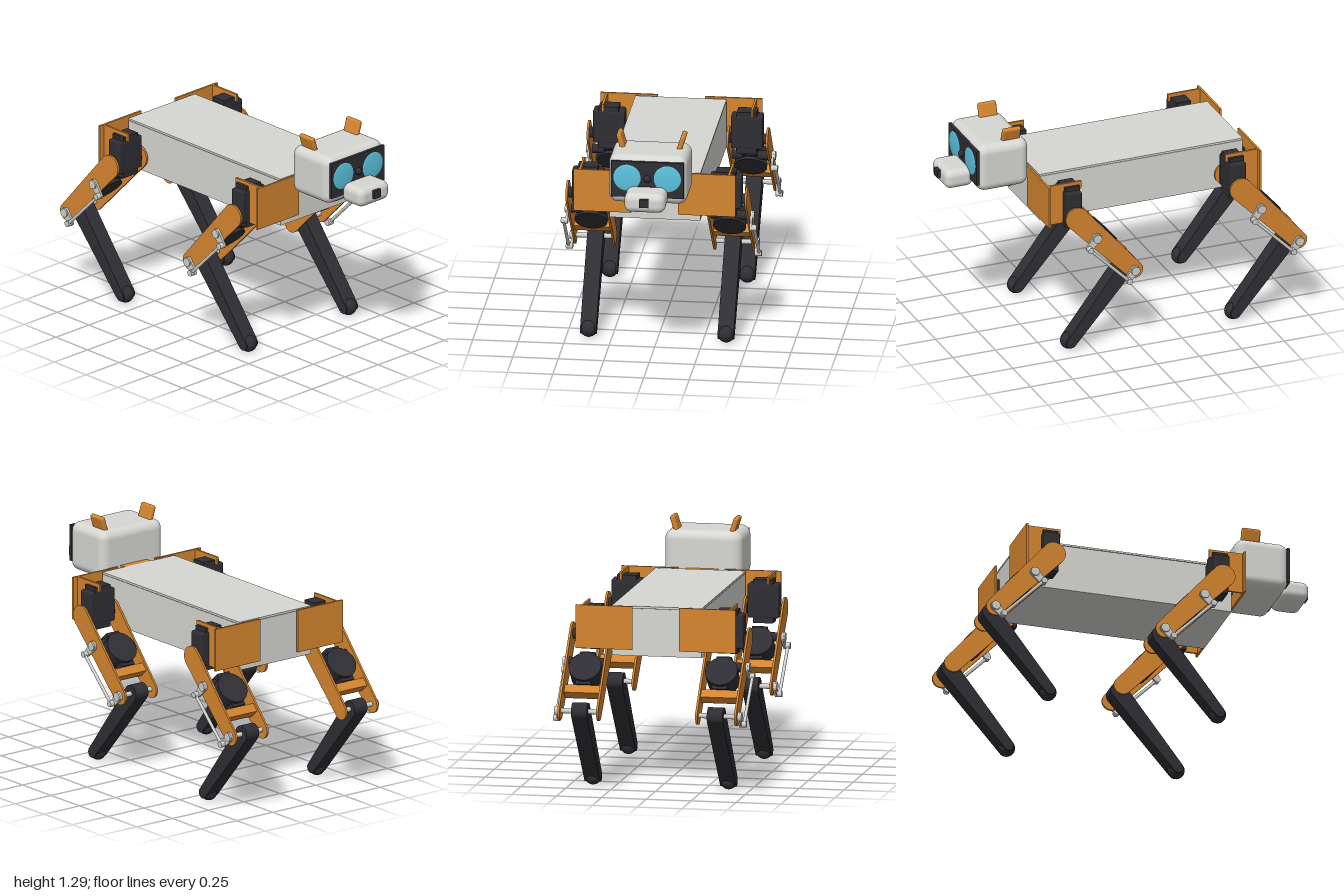
import * as THREE from 'three';
import { RoundedBoxGeometry } from 'three/addons/geometries/RoundedBoxGeometry.js';

const mat = (name, color) => Object.assign(new THREE.MeshStandardMaterial({ color }), { name });

export function createModel() {
  const root = new THREE.Group();
  root.name = 'robotDog';
  const orange = mat('orange', 0xd5852f);
  const shell = mat('shell grey', 0xd6d6d2);
  const metal = mat('light metal', 0xcfcfcb);
  const dark = mat('dark plastic', 0x2e2e34);
  const cyan = mat('cyan eye', 0x5cc4e0);

  const add = (parent, name, geo, material, x = 0, y = 0, z = 0) => {
    const m = new THREE.Mesh(geo, material);
    m.name = name;
    m.position.set(x, y, z);
    parent.add(m);
    return m;
  };
  const box = (w, h, d) => new THREE.BoxGeometry(w, h, d);
  // Cylinder lying along z
  const rodZ = (r, len) => new THREE.CylinderGeometry(r, r, len, 20).rotateX(Math.PI / 2);
  // Flat outline in xy, centred on its own thickness
  const plate = (shape, depth) => new THREE.ExtrudeGeometry(shape, {
    depth, bevelEnabled: false, curveSegments: 16,
  }).translate(0, 0, -depth / 2);
  // Rounded link from a to b with its own radius at each end
  const link = (a, b, ra, rb, depth) => {
    const len = Math.hypot(b[0] - a[0], b[1] - a[1]);
    const s = new THREE.Shape();
    s.absarc(0, 0, ra, Math.PI / 2, Math.PI * 1.5, false);
    s.absarc(len, 0, rb, -Math.PI / 2, Math.PI / 2, false);
    s.closePath();
    return plate(s, depth)
      .rotateZ(Math.atan2(b[1] - a[1], b[0] - a[0])).translate(a[0], a[1], 0);
  };

  // Torso and lid
  add(root, 'torso', box(1.2, 0.262, 0.5), shell, -0.11, 0.873, 0);
  add(root, 'torsoLid', box(1.2, 0.01, 0.502), shell, -0.11, 1.012, 0);
  add(root, 'lidSeam', box(1.194, 0.006, 0.494), dark, -0.11, 1.006, 0);
  add(root, 'neck', box(0.17, 0.05, 0.18), orange, 0.475, 0.99, 0);

  // Head
  const head = new THREE.Group();
  head.name = 'head';
  root.add(head);
  add(head, 'skull', new RoundedBoxGeometry(0.3, 0.275, 0.43, 5, 0.05), shell, 0.682, 1.083, 0);
  add(head, 'facePlate', box(0.018, 0.205, 0.4), dark, 0.833, 1.093, 0);
  add(head, 'muzzle', new RoundedBoxGeometry(0.165, 0.11, 0.226, 5, 0.04), shell, 0.9, 1.0, 0);
  add(head, 'nose', box(0.03, 0.046, 0.05), dark, 0.983, 1.009, 0);
  add(head, 'camera', new THREE.SphereGeometry(0.02, 20, 14), dark, 0.846, 1.1, 0);
  for (const s of [-1, 1]) {
    add(head, 'eye', new THREE.SphereGeometry(0.076, 32, 20).scale(0.09, 1, 1), cyan, 0.841, 1.102, s * 0.111);
    const ear = add(head, 'ear', new RoundedBoxGeometry(0.108, 0.11, 0.028, 3, 0.012), orange, 0.625, 1.24, s * 0.164);
    ear.rotation.x = s * 0.3;
  }

  // Leg joints relative to the hip axis; y is absolute
  const hip = [0, 0.835], knee = [-0.34, 0.465], foot = [0, 0.048];
  const thighAngle = Math.atan2(hip[1] - knee[1], hip[0] - knee[0]);

  // end: +1 front, -1 rear; s: side along z
  const makeLeg = (end, s) => {
    const leg = new THREE.Group();
    leg.name = (end > 0 ? 'front' : 'rear') + (s > 0 ? 'Near' : 'Far') + 'Leg';
    leg.position.x = end > 0 ? 0.37 : -0.6;
    root.add(leg);

    // Hip bracket: cross plate, and side plate with a strip over the motor
    add(leg, 'hipPlate', box(0.012, 0.24, 0.315), orange, end * 0.137, 0.9, s * 0.288);
    const side = [[0.14, 0.785], [0.14, 1.02], [-0.06, 1.02], [-0.06, 0.975], [0.05, 0.975], [0.05, 0.785]];
    const outline = new THREE.Shape(side.map(([x, y]) => new THREE.Vector2(end * x, y)));
    add(leg, 'hipSidePlate', plate(outline, 0.012), orange, 0, 0, s * 0.41);
    add(leg, 'hipBearing', box(0.022, 0.09, 0.09), dark, end * 0.125, 0.9, s * 0.19);

    // Hip motor
    add(leg, 'hipMotor', new RoundedBoxGeometry(0.09, 0.19, 0.176, 2, 0.012), dark, 0, 0.882, s * 0.379);
    add(leg, 'hipMotorCore', box(0.086, 0.24, 0.11), dark, 0, 0.88, s * 0.379);
    add(leg, 'hipAxle', rodZ(0.03, 0.215), dark, 0, hip[1], s * 0.385);

    // Thigh: two plates, drum motor, crossbar
    for (const z of [0.276, 0.492])
      add(leg, 'thighPlate', link(hip, knee, 0.065, 0.05, 0.012), orange, 0, 0, s * z);
    const thigh = new THREE.Group();
    thigh.name = 'thighCore';
    thigh.position.set(-0.175, 0.658, s * 0.38);
    thigh.rotation.z = thighAngle;
    leg.add(thigh);
    add(thigh, 'thighMotor', new THREE.CylinderGeometry(0.09, 0.09, 0.105, 28), dark);
    add(thigh, 'motorMount', box(0.21, 0.07, 0.085), dark);
    add(thigh, 'crossbar', box(0.05, 0.06, 0.208), orange, -0.133, 0, 0.004);
    add(leg, 'crankShaft', rodZ(0.025, 0.215), dark, -0.115, 0.7, s * 0.385);

    // Shin and foot
    add(leg, 'shin', link(knee, foot, 0.048, 0.03, 0.088), dark, 0, 0, s * 0.378);
    add(leg, 'foot', new THREE.SphereGeometry(0.047, 24, 16), dark, foot[0], foot[1], s * 0.378);
    add(leg, 'kneeAxle', rodZ(0.014, 0.25), metal, knee[0], knee[1], s * 0.396);

    // Push-rod linkage on the outside
    const cranks = [[[-0.115, 0.7], [-0.068, 0.645]], [knee, [-0.297, 0.417]]];
    for (const [a, b] of cranks) {
      add(leg, 'crank', link(a, b, 0.027, 0.018, 0.012), metal, 0, 0, s * 0.506);
      add(leg, 'crankHub', rodZ(0.025, 0.02), metal, a[0], a[1], s * 0.511);
      add(leg, 'rodEnd', rodZ(0.017, 0.03), metal, b[0], b[1], s * 0.523);
    }
    const [p, q] = [cranks[0][1], cranks[1][1]];
    const dx = p[0] - q[0], dy = p[1] - q[1];
    const rod = add(leg, 'pushRod', new THREE.CylinderGeometry(0.009, 0.009, Math.hypot(dx, dy), 14),
      metal, (p[0] + q[0]) / 2, (p[1] + q[1]) / 2, s * 0.524);
    rod.rotation.z = Math.atan2(dy, dx) - Math.PI / 2;
  };
  for (const end of [1, -1]) for (const s of [1, -1]) makeLeg(end, s);

  return root;
}
